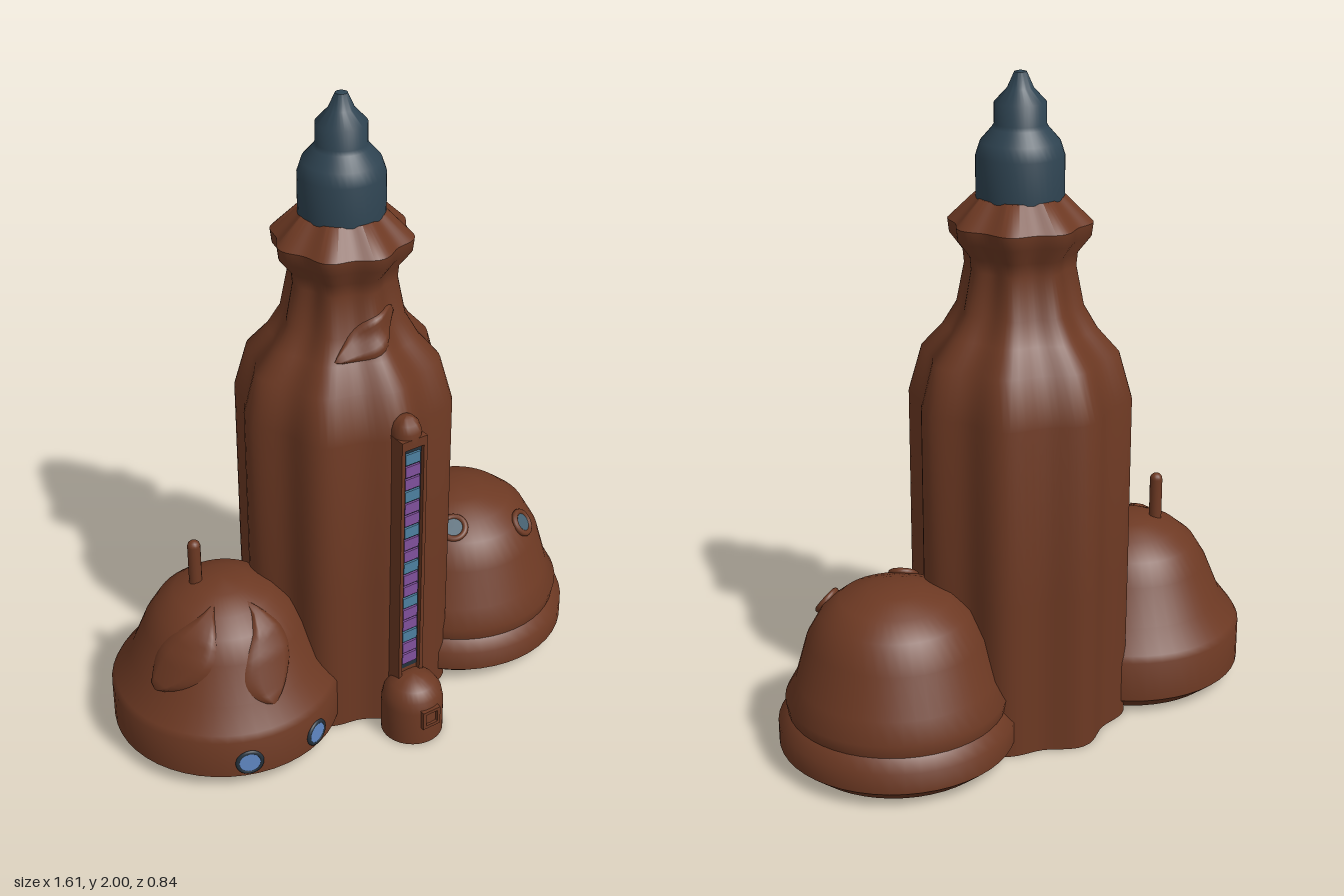
import * as THREE from 'three';
import { mergeVertices, toCreasedNormals } from 'three/addons/utils/BufferGeometryUtils.js';

const mat = (name, color, side = THREE.FrontSide) => {
  const m = new THREE.MeshStandardMaterial({ color, side });
  m.name = name;
  return m;
};

// Profiles as [radius, height]
const TOWER = [[0, 0], [0.332, 0], [0.334, 0.5], [0.334, 1.04], [0.294, 1.18], [0.23, 1.25], [0.188, 1.32],
  [0.164, 1.44], [0.168, 1.48], [0.207, 1.53], [0.212, 1.57], [0.135, 1.645], [0, 1.645]];
const CAP = [[0, 1.635], [0.128, 1.635], [0.128, 1.76], [0.115, 1.8], [0.082, 1.838], [0.075, 1.85], [0.075, 1.91],
  [0.038, 1.95], [0.018, 1.995], [0, 2]];
const DOME_LEFT = [[0, 0.003], [0.3, 0.003], [0.356, 0.05], [0.356, 0.18], [0.345, 0.2], [0.292, 0.27], [0.245, 0.385],
  [0.205, 0.45], [0.15, 0.495], [0.08, 0.525], [0, 0.535]];
const DOME_RIGHT = [[0, 0.003], [0.3, 0.003], [0.356, 0.05], [0.356, 0.115], [0.326, 0.15], [0.333, 0.19], [0.3, 0.25],
  [0.265, 0.375], [0.22, 0.455], [0.165, 0.5], [0.08, 0.528], [0, 0.535]];

const flute = (a) => 1 - 0.05 * (1 - Math.cos(8 * a));
const round = () => 1;

function lathe(profile, segments = 48, rule = round, crease = 0.8) {
  let g = new THREE.LatheGeometry(profile.map(([r, y]) => new THREE.Vector2(r, y)), segments);
  const p = g.attributes.position;
  for (let i = 0; i < p.count; i++) {
    const k = rule(Math.atan2(p.getX(i), p.getZ(i)));
    p.setX(i, p.getX(i) * k);
    p.setZ(i, p.getZ(i) * k);
  }
  g.deleteAttribute('uv');
  g.deleteAttribute('normal');
  g = mergeVertices(g, 1e-5);
  return toCreasedNormals(g, crease);
}

function radiusAt(profile, y) {
  for (let i = 2; i < profile.length; i++) {
    const [r0, y0] = profile[i - 1], [r1, y1] = profile[i];
    if (y <= y1) return r0 + (r1 - r0) * (y - y0) / (y1 - y0);
  }
  return 0;
}

// Leaf-shaped raised panel following a turned surface; ends and width as [angle, height]
function leaf(profile, rule, from, to, width) {
  const n = 16, m = 8, pos = [], idx = [];
  for (let i = 0; i <= n; i++) {
    const s = i / n, w = Math.pow(Math.sin(Math.PI * s), 0.8);
    for (let j = 0; j <= m; j++) {
      const t = (j / m - 0.5) * w;
      const a = from[0] + (to[0] - from[0]) * s + width[0] * t;
      const y = from[1] + (to[1] - from[1]) * s + width[1] * t;
      const edge = i === 0 || i === n || j === 0 || j === m;
      const off = edge ? -0.002 : 0.009;
      const r = radiusAt(profile, y) * rule(a) + off;
      pos.push(r * Math.sin(a), y + off * 0.5, r * Math.cos(a));
    }
  }
  for (let i = 0; i < n; i++) for (let j = 0; j < m; j++) {
    const a = i * (m + 1) + j, b = a + m + 1;
    idx.push(a, a + 1, b, a + 1, b + 1, b);
  }
  const g = new THREE.BufferGeometry();
  g.setAttribute('position', new THREE.Float32BufferAttribute(pos, 3));
  g.setIndex(idx);
  g.computeVertexNormals();
  return g;
}

export function createModel() {
  const brown = mat('brown clay', 0x6d3923);
  const brownSheet = mat('brown panel', 0x6d3923, THREE.DoubleSide);
  const slate = mat('slate', 0x2f4452);
  const dark = mat('dark trim', 0x24303a);
  const glass = mat('grey glass', 0x46606f);
  const blue = mat('window blue', 0x6088c4);
  const teal = mat('light blue', 0x4d80a0);
  const purple = mat('light purple', 0x80509c);

  const model = new THREE.Group();
  const add = (parent, name, geo, material, x = 0, y = 0, z = 0) => {
    const mesh = new THREE.Mesh(geo, material);
    mesh.name = name;
    mesh.position.set(x, y, z);
    parent.add(mesh);
    return mesh;
  };
  const group = (name, x, z) => {
    const g = new THREE.Group();
    g.name = name;
    g.position.set(x, 0, z);
    model.add(g);
    return g;
  };
  // Ring and pane facing a given direction
  const porthole = (parent, name, pos, dir, radius, tube, ringMat, paneMat) => {
    const g = new THREE.Group();
    g.name = name;
    add(g, 'ring', new THREE.TorusGeometry(radius, tube, 10, 28), ringMat);
    add(g, 'pane', new THREE.CircleGeometry(radius, 28), paneMat, 0, 0, 0.005);
    g.position.set(...pos);
    g.quaternion.setFromUnitVectors(new THREE.Vector3(0, 0, 1), new THREE.Vector3(...dir).normalize());
    parent.add(g);
  };

  // Fluted tower with nozzle
  const tower = group('tower', 0, -0.072);
  add(tower, 'flutedBody', lathe(TOWER, 96, flute), brown);
  add(tower, 'nozzle', lathe(CAP, 40), slate);
  add(tower, 'towerLeaf', leaf(TOWER, flute, [-0.7, 1.26], [0.5, 1.375], [0.25, -0.09]), brownSheet);

  // Dome on the model's right: windows, base band, leaves and spike
  const right = group('windowDome', -0.45, -0.065);
  add(right, 'domeShell', lathe(DOME_LEFT), brown);
  add(right, 'baseBand', new THREE.CylinderGeometry(0.346, 0.327, 0.015, 48, 1, true, -Math.PI / 2, Math.PI),
    dark, 0, 0.0285, 0);
  for (const s of [-1, 1]) {
    const a = s * 0.343;
    porthole(right, 'window', [0.355 * Math.sin(a), 0.1, 0.355 * Math.cos(a)],
      [Math.sin(a), 0, Math.cos(a)], 0.037, 0.007, dark, blue);
  }
  add(right, 'frontLeaf', leaf(DOME_LEFT, round, [-0.02, 0.25], [0.15, 0.51], [0.75, 0.06]), brownSheet);
  add(right, 'sideLeaf', leaf(DOME_LEFT, round, [-1.35, 0.27], [-0.75, 0.515], [0.75, -0.04]), brownSheet);
  add(right, 'spike', new THREE.CapsuleGeometry(0.02, 0.2, 6, 14), brown, -0.066, 0.55, -0.045);

  // Dome on the model's left, with two portholes
  const left = group('portholeDome', 0.45, -0.065);
  add(left, 'domeShell', lathe(DOME_RIGHT), brown);
  for (const [a, y, lift] of [[-0.72, 0.488, 1.3], [0.56, 0.447, 0.75]]) {
    const r = radiusAt(DOME_RIGHT, y);
    porthole(left, 'porthole', [r * Math.sin(a), y, r * Math.cos(a)],
      [Math.sin(a), lift, Math.cos(a)], 0.037, 0.01, brown, glass);
  }

  // Front column with side rails and a rounded top
  const column = group('lightColumn', 0, 0);
  add(column, 'columnCore', new THREE.BoxGeometry(0.09, 0.96, 0.13), brown, 0, 0.58, 0.22);
  add(column, 'backing', new THREE.BoxGeometry(0.07, 0.81, 0.004), dark, 0, 0.625, 0.286);
  for (const s of [-1, 1])
    add(column, 'rail', new THREE.BoxGeometry(0.012, 0.96, 0.02), brown, s * 0.039, 0.58, 0.292);
  add(column, 'topSill', new THREE.BoxGeometry(0.09, 0.03, 0.02), brown, 0, 1.045, 0.292);
  add(column, 'topCap', lathe([[0, 1.04], [0.045, 1.04], [0.045, 1.075], [0.036, 1.1], [0.02, 1.116], [0, 1.12]], 24),
    brown, 0, 0, 0.258);
  for (let i = 0; i < 18; i++)
    add(column, 'lightSegment', new THREE.BoxGeometry(0.052, 0.036, 0.008),
      i % 3 === 0 ? teal : purple, 0, 0.992 - i * 0.0431, 0.291);

  // Small pod at the foot of the column
  const pod = group('footPod', 0, 0.313);
  add(pod, 'podShell', lathe([[0, 0.003], [0.097, 0.003], [0.097, 0.12], [0.09, 0.155], [0.07, 0.185],
    [0.04, 0.203], [0, 0.21]], 32), brown);
  const frame = new THREE.Shape([[-1, -1], [1, -1], [1, 1], [-1, 1]].map(([x, y]) => new THREE.Vector2(x * 0.032, y * 0.032)));
  frame.holes.push(new THREE.Path([[-1, -1], [-1, 1], [1, 1], [1, -1]].map(([x, y]) => new THREE.Vector2(x * 0.021, y * 0.021))));
  add(pod, 'hatchFrame', new THREE.ExtrudeGeometry(frame, { depth: 0.025, bevelEnabled: false }), brown, 0, 0.1, 0.08);

  return model;
}
